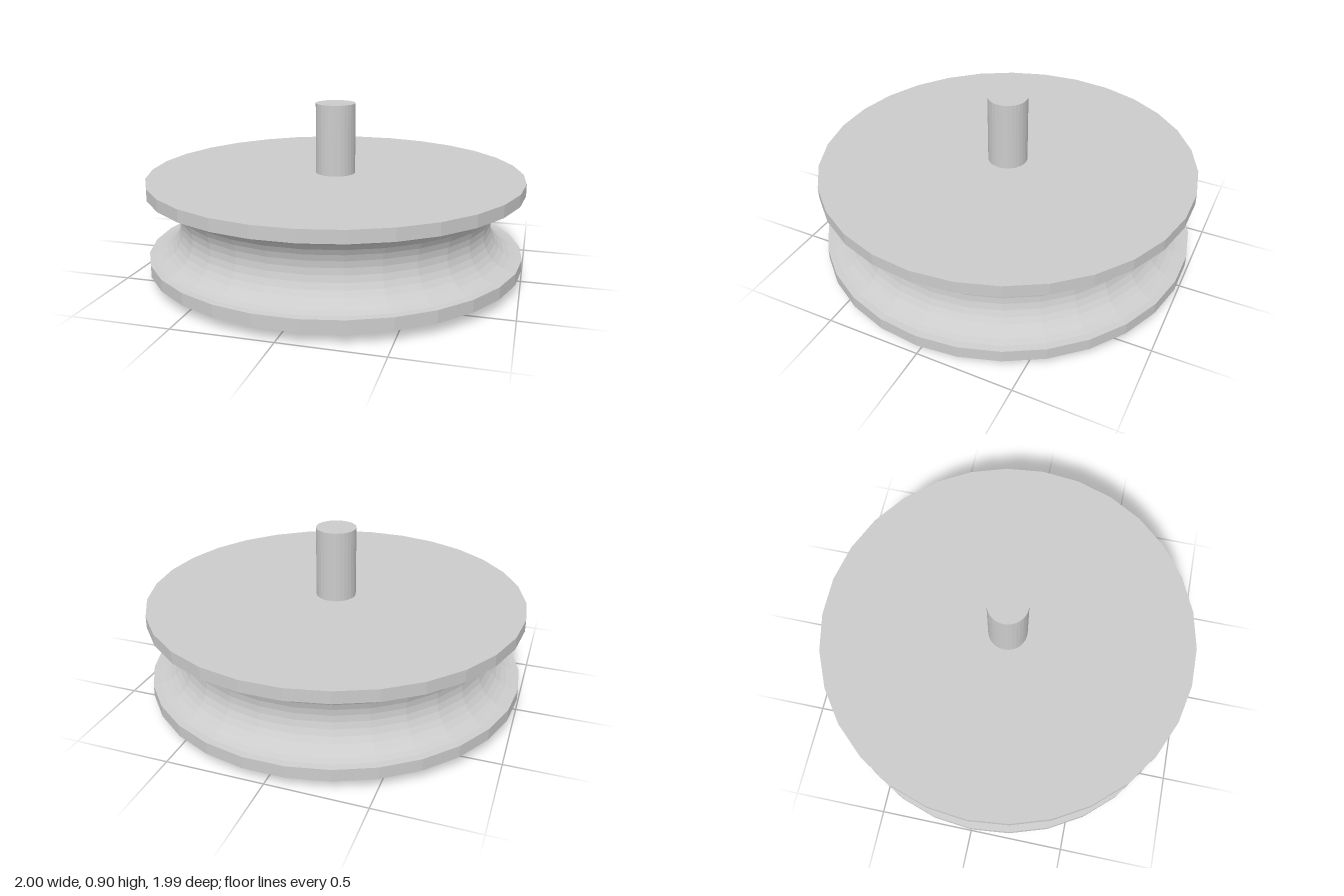
import * as THREE from 'three';

const SIDES = 30;

export function createModel() {
  const group = new THREE.Group();
  const material = new THREE.MeshStandardMaterial({ color: 0xcccccc, flatShading: true });

  // Turned part: profile of [radius, y] from bottom to top, first corner on the x axis
  const turned = (name, profile) => {
    const points = profile.map(([r, y]) => new THREE.Vector2(r, y));
    const mesh = new THREE.Mesh(new THREE.LatheGeometry(points, SIDES, Math.PI / 2), material);
    mesh.name = name;
    group.add(mesh);
  };

  // Pulley wheel: two flat rims with a half-round rope groove between them
  const grooveRadius = 0.17, grooveY = 0.29, grooveSteps = 16;
  const groove = [];
  for (let i = 0; i <= grooveSteps; i++) {
    const a = (i / grooveSteps) * Math.PI;
    groove.push([1 - grooveRadius * Math.sin(a), grooveY - grooveRadius * Math.cos(a)]);
  }
  turned('pulleyWheel', [[0, 0.057], [1, 0.057], ...groove, [1, 0.523], [0, 0.523]]);

  // Axle pin through the wheel, with a wide flat head just below it
  turned('axlePin', [
    [0, 0], [0.25, 0], [0.25, 0.048], [0.105, 0.048], [0.105, 0.897], [0, 0.897],
  ]);

  return group;
}
